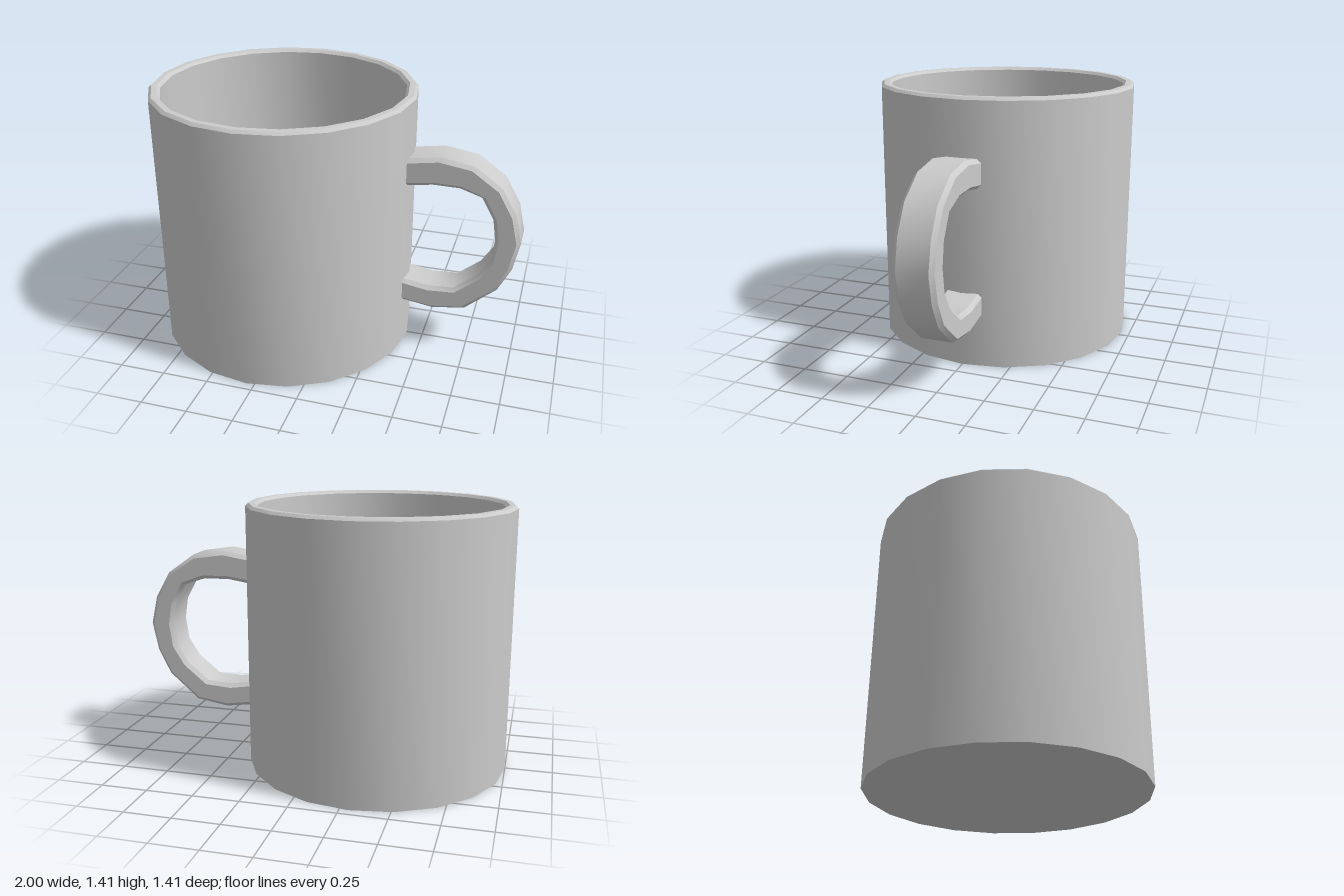
import * as THREE from 'three';
import { toCreasedNormals } from 'three/addons/utils/BufferGeometryUtils.js';

const CREASE = 0.66; // keeps 45 degree bevels sharp, smooths the facets

// Sweeps a bevelled rectangular section along paired outer and inner edge points.
function bevelledSweep(stations, halfWidth, bevel) {
  const rings = stations.map(([ox, oy, ix, iy]) => {
    const outer = new THREE.Vector2(ox, oy), inner = new THREE.Vector2(ix, iy);
    const f = bevel / outer.distanceTo(inner);
    const w = halfWidth, v = halfWidth - bevel;
    // [position from outer to inner edge, z]
    return [[0, -v], [0, v], [f, w], [1 - f, w], [1, v], [1, -v], [1 - f, -w], [f, -w]]
      .map(([k, z]) => { const p = outer.clone().lerp(inner, k); return [p.x, p.y, z]; });
  });
  const positions = [];
  for (let i = 0; i < rings.length - 1; i++) {
    for (let j = 0; j < 8; j++) {
      const k = (j + 1) % 8;
      const a = rings[i][j], b = rings[i][k], c = rings[i + 1][k], d = rings[i + 1][j];
      positions.push(...a, ...b, ...c, ...a, ...c, ...d);
    }
  }
  const geometry = new THREE.BufferGeometry();
  geometry.setAttribute('position', new THREE.Float32BufferAttribute(positions, 3));
  return toCreasedNormals(geometry, CREASE);
}

export function createModel() {
  const group = new THREE.Group();
  group.name = 'mug';
  const material = new THREE.MeshStandardMaterial({ color: 0xcccccc });

  // Cup: outer wall, bevelled rim, inner wall and floor in one profile
  const profile = [
    [0, 0], [0.705, 0], [0.705, 1.4], [0.69, 1.415],
    [0.66, 1.415], [0.645, 1.4], [0.645, 0.06], [0, 0.06],
  ].map(([r, y]) => new THREE.Vector2(r, y));
  const cup = new THREE.Mesh(toCreasedNormals(new THREE.LatheGeometry(profile, 20), CREASE), material);
  cup.name = 'cup';
  cup.position.x = -0.295;
  group.add(cup);

  // Handle: outer x, y and inner x, y, from the upper joint to the lower one
  const stations = [
    [0.38, 1.108, 0.38, 0.957],
    [0.56, 1.135, 0.53, 0.98],
    [0.735, 1.107, 0.67, 0.978],
    [0.885, 1.0, 0.785, 0.94],
    [0.965, 0.86, 0.85, 0.825],
    [1.0, 0.706, 0.868, 0.706],
    [0.968, 0.55, 0.85, 0.583],
    [0.9, 0.415, 0.788, 0.485],
    [0.735, 0.273, 0.667, 0.388],
    [0.56, 0.245, 0.53, 0.38],
    [0.38, 0.271, 0.38, 0.405],
  ];
  const handle = new THREE.Mesh(bevelledSweep(stations, 0.103, 0.021), material);
  handle.name = 'handle';
  group.add(handle);

  return group;
}
